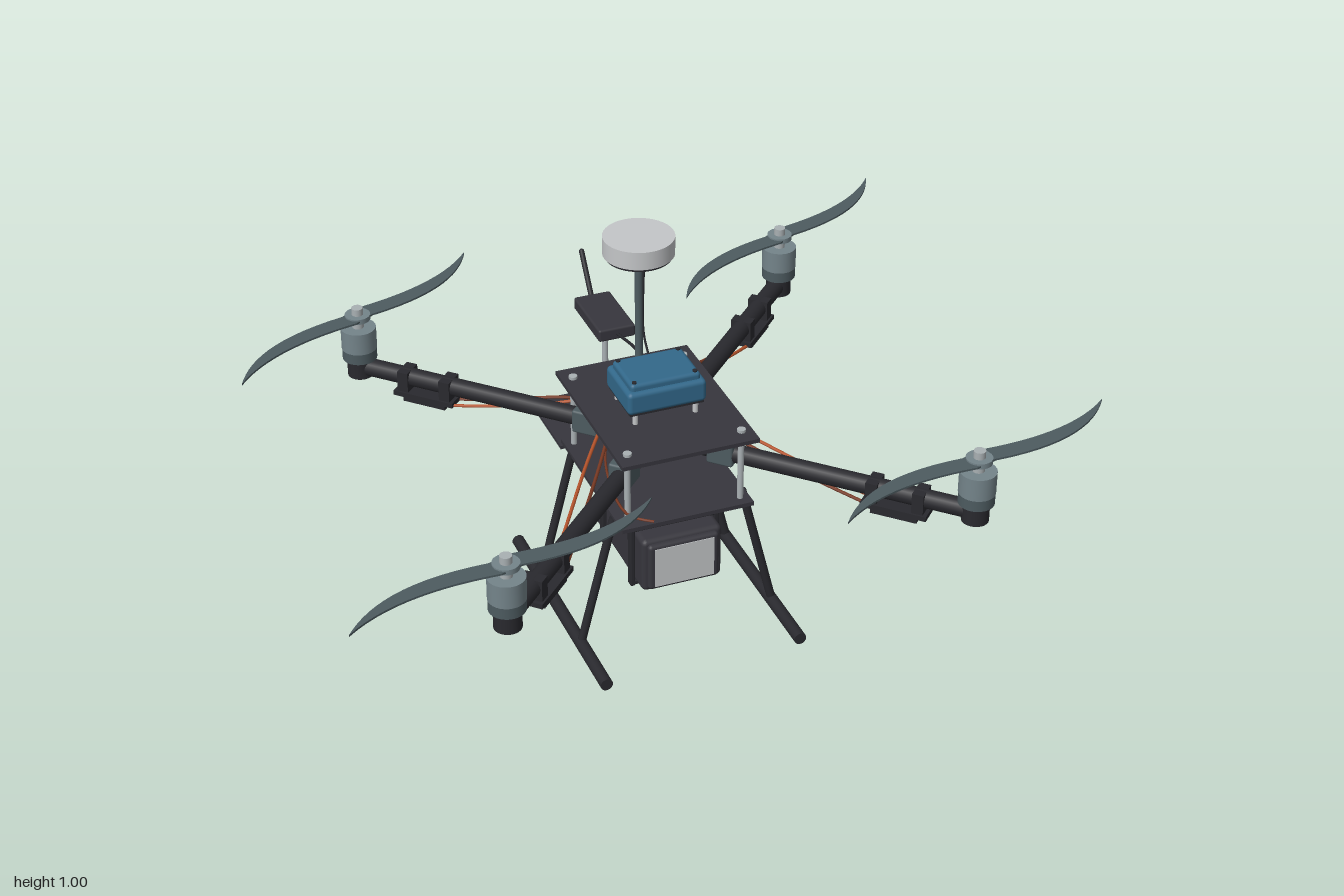
import * as THREE from 'three';
import { RoundedBoxGeometry } from 'three/addons/geometries/RoundedBoxGeometry.js';

const mat = (name, color) => {
  const m = new THREE.MeshStandardMaterial({ color });
  m.name = name;
  return m;
};

export function createModel() {
  const carbon = mat('carbon', 0x37363d);
  const black = mat('black', 0x29292e);
  const steel = mat('motor grey', 0x74848a);
  const slate = mat('slate', 0x4d5b60);
  const silver = mat('silver', 0xa9b0b3);
  const pale = mat('pale grey', 0xc4c6c8);
  const blue = mat('blue', 0x32688a);
  const orange = mat('orange', 0xb9552c);
  const brown = mat('wire brown', 0x7a3a24);

  const model = new THREE.Group();
  model.name = 'quadcopter';
  const V = (x, y, z) => new THREE.Vector3(x, y, z);
  const add = (name, geo, m, x = 0, y = 0, z = 0, parent = model) => {
    const mesh = new THREE.Mesh(geo, m);
    mesh.name = name;
    mesh.position.set(x, y, z);
    parent.add(mesh);
    return mesh;
  };
  const box = (name, m, w, h, d, x, y, z, parent) =>
    add(name, new THREE.BoxGeometry(w, h, d), m, x, y, z, parent);
  // Box with a small bevel
  const soft = (name, m, w, h, d, r, x, y, z, parent) =>
    add(name, new RoundedBoxGeometry(w, h, d, 2, r), m, x, y, z, parent);
  // Upright cylinder between two heights
  const post = (name, m, r, y0, y1, x, z, parent, seg = 20) =>
    add(name, new THREE.CylinderGeometry(r, r, y1 - y0, seg), m, x, (y0 + y1) / 2, z, parent);
  // Round rod between two points
  const rod = (name, m, r, a, b, round = false) => {
    const len = a.distanceTo(b);
    const geo = round ? new THREE.CapsuleGeometry(r, len, 6, 16) : new THREE.CylinderGeometry(r, r, len, 14);
    const mesh = add(name, geo, m);
    mesh.position.copy(a).add(b).multiplyScalar(0.5);
    mesh.quaternion.setFromUnitVectors(V(0, 1, 0), b.clone().sub(a).normalize());
    return mesh;
  };
  const wire = (name, m, r, pts) =>
    add(name, new THREE.TubeGeometry(new THREE.CatmullRomCurve3(pts), 20, r, 6), m);

  // Frame plates
  box('topPlate', carbon, 0.36, 0.011, 0.48, 0, 0.575, 0.047);
  box('bottomPlate', carbon, 0.35, 0.011, 0.445, 0, 0.38, 0.048);
  box('rearTray', carbon, 0.36, 0.01, 0.235, 0, 0.366, -0.282);
  for (const s of [-1, 1]) for (const z of [0.24, -0.145]) {
    post('standoff', silver, 0.008, 0.38, 0.575, s * 0.15, z);
    post('standoffScrew', silver, 0.011, 0.58, 0.588, s * 0.15, z);
  }

  // Two-bladed propeller: one S-shaped outline
  const outline = new THREE.Shape();
  outline.moveTo(0.425, 0);
  for (const s of [1, -1]) {
    if (s < 0) outline.lineTo(-0.425, 0);
    outline.bezierCurveTo(s * 0.34, s * 0.06, s * 0.22, s * 0.095, s * 0.03, s * 0.026);
    outline.lineTo(-s * 0.03, s * 0.026);
    outline.bezierCurveTo(-s * 0.15, -s * 0.02, -s * 0.29, -s * 0.05, -s * 0.425, 0);
  }
  const propGeo = new THREE.ExtrudeGeometry(outline, { depth: 0.005, bevelEnabled: false, curveSegments: 14 });
  propGeo.rotateX(Math.PI / 2);

  // Four arms with motor, propeller and speed controller
  for (const s of [-1, 1]) for (const d of [-1, 1]) {
    const mx = s * 0.595, mz = 0.045 + d * 0.595;
    const angle = Math.atan2(-d, s);
    rod('arm', black, 0.024, V(0, 0.49, 0.045), V(mx, 0.49, mz), true);

    const clamp = soft('armClamp', slate, 0.07, 0.064, 0.058, 0.006, s * 0.132, 0.492, 0.045 + d * 0.127);
    clamp.rotation.y = angle;

    const motor = new THREE.Group();
    motor.name = 'motor';
    motor.position.set(mx, 0, mz);
    model.add(motor);
    post('motorMount', black, 0.034, 0.464, 0.516, 0, 0, motor, 24);
    post('motorBase', slate, 0.045, 0.515, 0.545, 0, 0, motor, 28);
    post('motorBell', steel, 0.046, 0.545, 0.605, 0, 0, motor, 28);
    post('motorShaft', silver, 0.015, 0.605, 0.662, 0, 0, motor);
    post('propellerHub', steel, 0.033, 0.629, 0.643, 0, 0, motor, 24);
    const prop = add('propeller', propGeo, slate, 0, 0.639, 0, motor);
    prop.rotation.y = d > 0 ? 0.314 : 0.55;

    const esc = new THREE.Group();
    esc.name = 'speedController';
    esc.position.set(s * 0.455, 0, 0.045 + d * 0.455);
    esc.rotation.y = angle;
    model.add(esc);
    box('controllerLid', black, 0.17, 0.013, 0.066, 0, 0.451, 0, esc);
    box('controllerBody', black, 0.12, 0.016, 0.054, 0, 0.437, 0, esc);
    for (const u of [-0.06, 0.06]) box('controllerBand', black, 0.03, 0.056, 0.056, u, 0.485, 0, esc);

    // Power leads to the distribution board
    for (const k of [-0.012, 0.012]) {
      const z0 = 0.045 + d * 0.395;
      wire('powerLead', k < 0 ? orange : brown, 0.0045, [
        V(s * (0.4 - k), 0.446, z0 + d * k),
        V(s * (0.33 - k), 0.456, z0 + (-0.11 - z0) * 0.2 + d * k),
        V(s * (0.19 - k), 0.488, z0 + (-0.11 - z0) * 0.6 + d * k),
        V(s * 0.05, 0.525, -0.105 + k)]);
    }
  }

  // Power distribution board
  box('powerBoard', orange, 0.13, 0.016, 0.066, 0, 0.53, -0.104);
  box('powerBoardCore', black, 0.1, 0.01, 0.056, 0, 0.543, -0.104);
  box('powerBoardCap', orange, 0.06, 0.008, 0.062, 0, 0.552, -0.104);

  // Flight controller on four feet
  soft('flightController', blue, 0.208, 0.062, 0.16, 0.012, 0, 0.645, 0.05);
  soft('flightControllerLid', blue, 0.185, 0.03, 0.135, 0.01, 0, 0.679, 0.05);
  box('flightControllerBase', black, 0.196, 0.006, 0.148, 0, 0.613, 0.05);
  for (const x of [-0.08, 0.08]) for (const z of [-0.012, 0.112]) {
    post('damper', pale, 0.007, 0.58, 0.614, x, z);
    post('lidScrew', black, 0.006, 0.692, 0.697, x, 0.05 + (z - 0.05) * 0.9);
  }

  // Mast with satellite receiver
  post('mast', slate, 0.01, 0.575, 0.95, 0, -0.07);
  post('mastFoot', black, 0.022, 0.58, 0.592, 0, -0.07);
  post('receiverBase', black, 0.084, 0.944, 0.953, 0, -0.07, model, 40);
  post('receiverDome', pale, 0.09, 0.952, 1.0, 0, -0.07, model, 40);
  box('mastClip', black, 0.07, 0.008, 0.042, 0.028, 0.934, -0.05);
  wire('mastCable', black, 0.003, [V(0.02, 0.64, -0.03), V(0.015, 0.68, -0.05), V(0.01, 0.73, -0.064), V(0.01, 0.93, -0.06)]);

  // Radio module and antenna
  soft('radioModule', carbon, 0.1, 0.034, 0.19, 0.006, 0, 0.636, -0.318);
  post('radioPost', silver, 0.008, 0.5, 0.62, 0, -0.315);
  rod('antenna', black, 0.007, V(0, 0.64, -0.412), V(0, 0.742, -0.485), true);
  wire('radioCable', black, 0.004, [V(0, 0.652, -0.03), V(0.012, 0.645, -0.12), V(0, 0.636, -0.225)]);

  // Loose cables between the plates
  wire('frontCable', brown, 0.0035, [V(-0.12, 0.446, 0.345), V(-0.165, 0.44, 0.29), V(-0.15, 0.44, 0.1),
    V(-0.08, 0.44, -0.08), V(-0.04, 0.52, -0.1)]);
  wire('rearCable', brown, 0.0035, [V(0, 0.52, -0.11), V(0, 0.44, -0.13), V(0, 0.41, -0.2), V(0, 0.372, -0.275)]);

  // Battery pack with pale front panel and straps
  soft('batteryPack', carbon, 0.215, 0.152, 0.345, 0.014, 0, 0.23, 0.06);
  soft('batteryFront', carbon, 0.19, 0.132, 0.03, 0.01, 0, 0.23, 0.23);
  box('frontPanel', pale, 0.16, 0.112, 0.006, 0, 0.23, 0.244);
  for (const z of [0.168, -0.035]) {
    for (const s of [-1, 1]) {
      soft('strapSide', black, 0.012, 0.178, 0.024, 0.003, s * 0.113, 0.23, z);
      soft('strapBand', black, 0.235, 0.012, 0.024, 0.003, 0, 0.23 + s * 0.08, z);
    }
  }

  // Landing gear
  for (const s of [-1, 1]) {
    rod('skid', black, 0.0165, V(s * 0.262, 0.0165, 0.385), V(s * 0.262, 0.0165, -0.288));
    for (const z of [0.2, -0.105]) rod('leg', black, 0.011, V(s * 0.172, 0.378, z), V(s * 0.262, 0.018, z));
  }

  return model;
}
